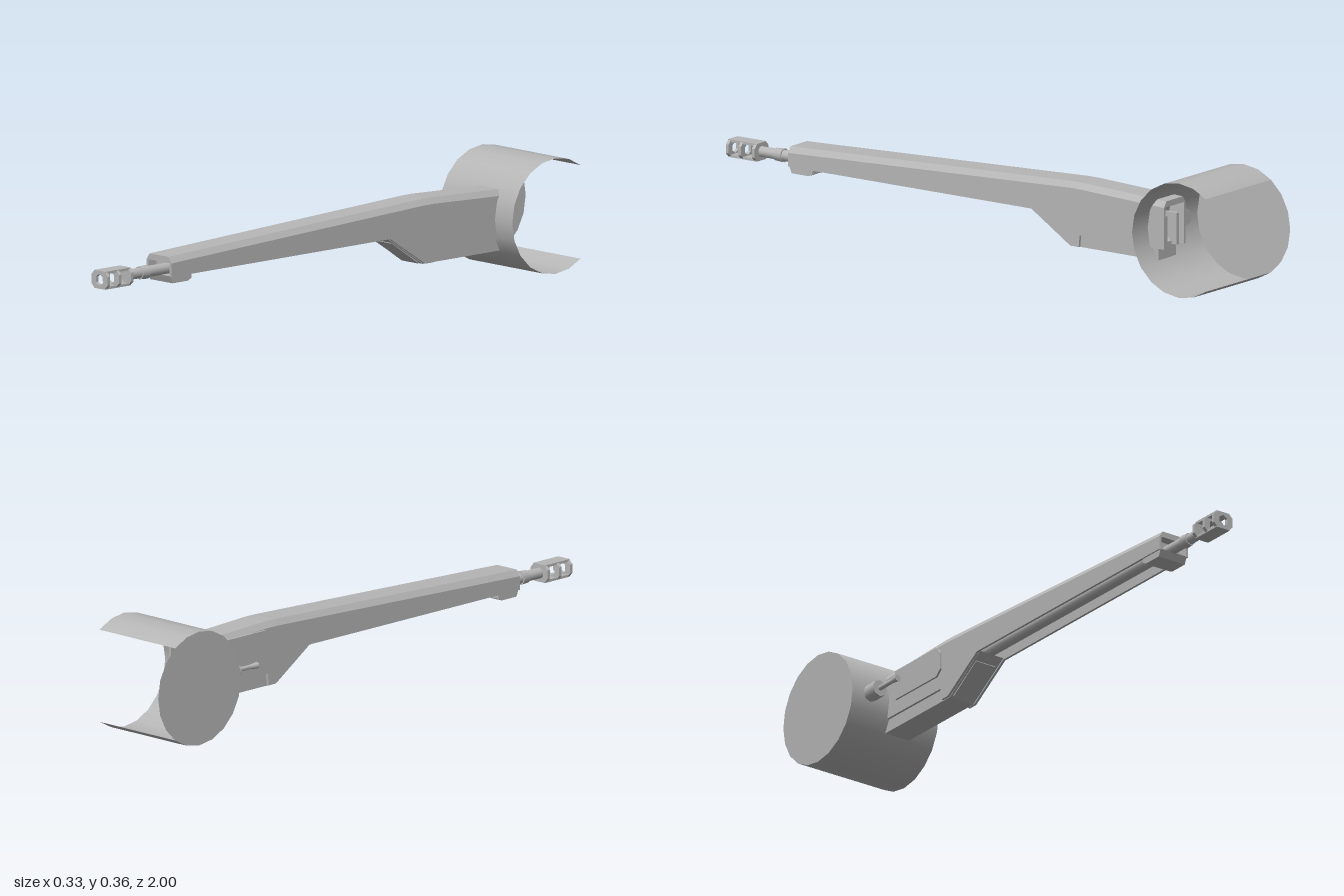
import * as THREE from 'three';

const metal = new THREE.MeshStandardMaterial({ color: 0xb6b6b6, side: THREE.DoubleSide });
metal.name = 'plain grey';

function add(parent, name, geometry, x = 0, y = 0, z = 0) {
  const m = new THREE.Mesh(geometry, metal);
  m.name = name;
  m.position.set(x, y, z);
  parent.add(m);
  return m;
}

// Box given by its centre x, width and its y and z ranges
function block(parent, name, x, w, y0, y1, z0, z1) {
  return add(parent, name, new THREE.BoxGeometry(w, y1 - y0, z1 - z0), x, (y0 + y1) / 2, (z0 + z1) / 2);
}

// Round or many-sided bar lying along z
function bar(parent, name, x, y, z0, z1, rBack, rFront = rBack, sides = 12) {
  const g = new THREE.CylinderGeometry(rFront, rBack, z1 - z0, sides).rotateX(Math.PI / 2);
  return add(parent, name, g, x, y, (z0 + z1) / 2);
}

// Side profile of [z, y] points extruded across x
function sidePlate(parent, name, x, w, points) {
  const s = new THREE.Shape(points.map(([z, y]) => new THREE.Vector2(-z, y)));
  const g = new THREE.ExtrudeGeometry(s, { depth: w, bevelEnabled: false });
  g.translate(0, 0, -w / 2).rotateY(Math.PI / 2);
  return add(parent, name, g, x, 0, 0);
}

// Channel open underneath, swept through stations [z, top, bottom]
function channel(stations, half, t) {
  const pos = [];
  const rings = stations.map(([z, yt, yb]) => {
    const c = 0.013, d = 0.019;
    return [[-half, yb], [-half, yt - d], [c - half, yt], [half - c, yt], [half, yt - d], [half, yb],
      [half - t, yb], [half - t, yt - d], [t - half, yt - d], [t - half, yb]].map(([x, y]) => [x, y, z]);
  });
  const tri = (a, b, c) => pos.push(...a, ...b, ...c);
  for (let i = 0; i < rings.length - 1; i++) {
    for (let j = 0; j < 10; j++) {
      const k = (j + 1) % 10;
      tri(rings[i][j], rings[i][k], rings[i + 1][k]);
      tri(rings[i][j], rings[i + 1][k], rings[i + 1][j]);
    }
  }
  const caps = [[0, 1, 8], [0, 8, 9], [1, 2, 8], [2, 3, 7], [2, 7, 8], [3, 4, 7], [4, 5, 6], [4, 6, 7]];
  const first = rings[0], last = rings[rings.length - 1];
  for (const [a, b, c] of caps) {
    tri(first[a], first[c], first[b]);
    tri(last[a], last[b], last[c]);
  }
  const g = new THREE.BufferGeometry();
  g.setAttribute('position', new THREE.Float32BufferAttribute(pos, 3));
  g.computeVertexNormals();
  return g;
}

// Chamfered plate with a hexagonal hole
function endPlate(w, h, depth) {
  const a = w / 2, b = h / 2, c = 0.014;
  const s = new THREE.Shape([[-a, c - b], [c - a, -b], [a - c, -b], [a, c - b],
    [a, b - c], [a - c, b], [c - a, b], [-a, b - c]].map(p => new THREE.Vector2(...p)));
  const hole = [];
  for (let i = 0; i < 6; i++) {
    const q = -i * Math.PI / 3 + Math.PI / 6;
    hole.push(new THREE.Vector2(0.018 * Math.cos(q), 0.018 * Math.sin(q)));
  }
  s.holes.push(new THREE.Path(hole));
  return new THREE.ExtrudeGeometry(s, { depth, bevelEnabled: false });
}

export function createModel() {
  const model = new THREE.Group();
  model.name = 'model';

  // Drum: shell open at the rear and on one end, full disc on the other
  const drum = new THREE.Group();
  drum.name = 'drum';
  drum.position.set(0, 0.181, -0.819);
  model.add(drum);
  const shell = new THREE.CylinderGeometry(0.181, 0.181, 0.328, 14, 1, true, -0.7 * Math.PI, 1.4 * Math.PI);
  add(drum, 'drumShell', shell.rotateZ(Math.PI / 2));
  add(drum, 'drumEnd', new THREE.CircleGeometry(0.181, 20).rotateY(-Math.PI / 2), -0.164);

  // Small knob on the front of the drum
  const knob = new THREE.Group();
  knob.name = 'knob';
  model.add(knob);
  bar(knob, 'knobBase', -0.094, 0.183, -0.65, -0.59, 0.027, 0.027, 8);
  bar(knob, 'knobStem', -0.094, 0.183, -0.59, -0.53, 0.008, 0.007, 8);
  bar(knob, 'knobTip', -0.094, 0.183, -0.53, -0.497, 0.007, 0.011, 8);

  // Arm, turned slightly off the centre line
  const arm = new THREE.Group();
  arm.name = 'arm';
  arm.position.x = 0.0405;
  arm.rotation.y = 0.0156;
  model.add(arm);
  add(arm, 'armChannel', channel([
    [0.745, 0.24, 0.178], [-0.19, 0.278, 0.178], [-0.34, 0.284, 0.082], [-0.372, 0.284, 0.082],
    [-0.376, 0.284, 0.12], [-0.7, 0.271, 0.12]], 0.055, 0.008));
  sidePlate(arm, 'lowerHousing', -0.002, 0.09,
    [[-0.185, 0.18], [-0.34, 0.08], [-0.67, 0.08], [-0.67, 0.13], [-0.6, 0.18]]);
  sidePlate(arm, 'slopePanel', -0.002, 0.075,
    [[-0.215, 0.158], [-0.33, 0.081], [-0.33, 0.086], [-0.215, 0.163]]);
  block(arm, 'rearBulkhead', 0, 0.094, 0.13, 0.255, -0.63, -0.61);
  for (const s of [-1, 1]) block(arm, 'rearRail', s * 0.03, 0.012, 0.12, 0.22, -0.69, -0.63);
  block(arm, 'frontBulkhead', 0, 0.096, 0.178, 0.225, 0.7, 0.71);

  // Thin plates on the sides of the arm
  sidePlate(arm, 'sidePanel', -0.0575, 0.008,
    [[-0.37, 0.24], [-0.39, 0.262], [-0.6, 0.262], [-0.6, 0.165], [-0.39, 0.165], [-0.37, 0.185]]);

  // Foot under the front end
  sidePlate(arm, 'frontFoot', 0, 0.1,
    [[0.745, 0.18], [0.735, 0.157], [0.67, 0.157], [0.655, 0.164], [0.655, 0.18]]);

  // Rod running through the channel and out of the front
  const cx = 0.0, cy = 0.195;
  bar(arm, 'innerRod', cx, 0.198, -0.25, 0.7, 0.02);
  bar(arm, 'rodCollar', cx, cy, 0.7, 0.8, 0.018);
  bar(arm, 'rodNeck', cx, cy, 0.8, 0.83, 0.022, 0.02);
  bar(arm, 'rodTip', cx, cy, 0.83, 0.895, 0.017);

  // Slotted end: three drilled plates joined above and below
  const end = new THREE.Group();
  end.name = 'slottedEnd';
  arm.add(end);
  for (const z of [0.888, 0.94, 0.988]) add(end, 'endPlate', endPlate(0.072, 0.056, 0.011), cx, cy, z);
  for (const s of [-1, 1]) {
    const y = cy + s * 0.024;
    block(end, 'endBridge', cx, 0.05, y - 0.004, y + 0.004, 0.89, 0.998);
  }
  return model;
}
